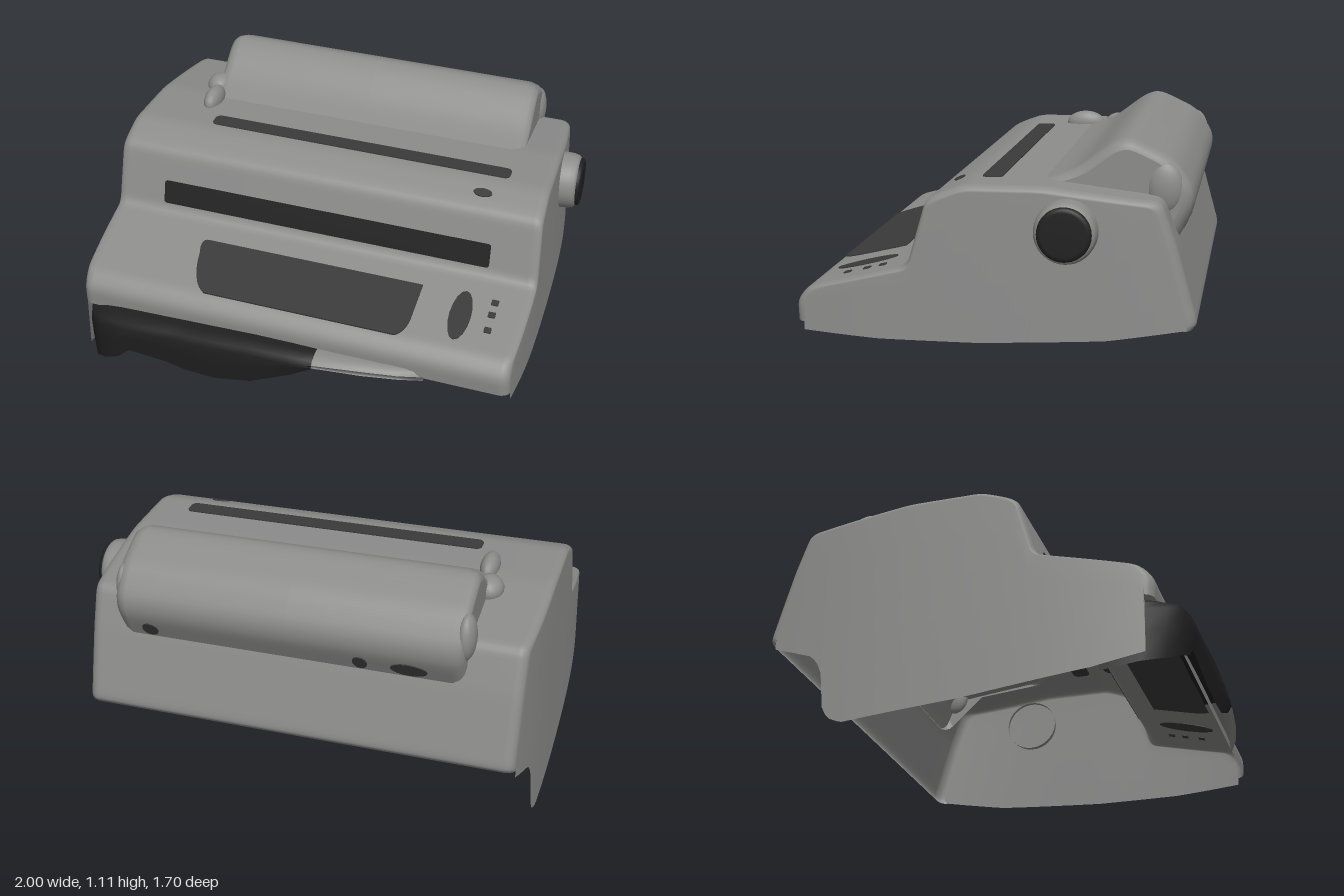
import * as THREE from 'three';

const mat = (name, color) => {
  const m = new THREE.MeshStandardMaterial({ color, side: THREE.DoubleSide });
  m.name = name;
  return m;
};

// the whole casing leans slightly: lower and further forward towards +x
const lean = (x, y, z) => [x, y - 0.027 * x, z + 0.03 * x];

// polyline of [z, y] with rounded corners, then evenly subdivided
function profile(pts, d = 0.035, step = 0.02) {
  const v = pts.map(p => new THREE.Vector2(...p)), out = [v[0]];
  for (let i = 1; i < v.length - 1; i++) {
    const p = v[i];
    const cut = q => p.clone().lerp(q, Math.min(d / p.distanceTo(q), 0.4));
    const a = cut(v[i - 1]), b = cut(v[i + 1]);
    for (const t of [0, 0.25, 0.5, 0.75, 1]) {
      out.push(a.clone().lerp(p, t).lerp(p.clone().lerp(b, t), t));
    }
  }
  out.push(v[v.length - 1]);
  const fine = [out[0]];
  for (let i = 1; i < out.length; i++) {
    const n = Math.max(1, Math.ceil(out[i].distanceTo(out[i - 1]) / step));
    for (let k = 1; k <= n; k++) fine.push(out[i - 1].clone().lerp(out[i], k / n));
  }
  return fine;
}

// skin over a grid of rows of [x, y, z] points
function skin(rows) {
  const n = rows[0].length, idx = [];
  for (let j = 0; j < rows.length - 1; j++) {
    for (let i = 0; i < n - 1; i++) {
      const a = j * n + i, b = a + n;
      idx.push(a, a + 1, b, b, a + 1, b + 1);
    }
  }
  const g = new THREE.BufferGeometry();
  g.setAttribute('position', new THREE.Float32BufferAttribute(rows.flat(2), 3));
  g.setIndex(idx);
  g.computeVertexNormals();
  return g;
}

// linear lookup in a short table of [key, value], keys falling
function lookup(table, k) {
  for (let i = 1; i < table.length; i++) {
    const [a, va] = table[i - 1], [b, vb] = table[i];
    if (k >= b) return THREE.MathUtils.lerp(va, vb, THREE.MathUtils.clamp((a - k) / (a - b), 0, 1));
  }
  return table[table.length - 1][1];
}

export function createModel() {
  const model = new THREE.Group();
  const grey = mat('casing grey', 0x8c8c8b);
  const charcoal = mat('charcoal', 0x3a3a3a);
  const black = mat('near black', 0x202020);
  const add = (name, geometry, material) => {
    const m = new THREE.Mesh(geometry, material);
    m.name = name;
    model.add(m);
    return m;
  };

  // casing: open-bottomed shell with side walls, the left one hanging lower
  const body = profile([[0.735, 0.36], [0.74, 0.44], [0.69, 0.5], [0.285, 0.598], [0.21, 0.86],
    [0.16, 0.888], [0.06, 0.925], [-0.25, 0.925], [-0.7, 0.87], [-0.76, 0.7], [-0.845, 0.4], [-0.825, 0.375]]);
  const hem = {
    '-1': [[0.74, 0.13], [0.5, 0.075], [0, 0.01], [-0.48, -0.027], [-0.54, 0], [-0.57, 0.06],
      [-0.585, 0.22], [-0.63, 0.28], [-0.8, 0.345], [-0.85, 0.375]],
    '1': [[0.75, 0.33], [0.4, 0.31], [0, 0.31], [-0.5, 0.335], [-0.85, 0.385]],
  };
  const wallX = (side, y, z) => side < 0
    ? -0.97 - 0.03 * (1 - y) + 0.08 * z * z * Math.abs(z)
    : 0.91 + 0.035 * (0.9 - y) - 0.08 * z * z * Math.abs(z);
  const sideRows = side => {
    const rows = [];
    const shrink = s => body.map(p => [-0.05 + (p.x + 0.05) * s, 0.36 + (p.y - 0.36) * s]);
    for (const t of [1, 0.8, 0.6, 0.4, 0.2, 0]) {
      rows.push(shrink(0.955).map(([z, y]) => {
        const yy = THREE.MathUtils.lerp(y, Math.min(y, lookup(hem[side], z)), t);
        return [wallX(side, yy, z), yy, z];
      }));
    }
    for (let k = 1; k <= 5; k++) {
      const a = k / 5 * Math.PI / 2;
      rows.push(shrink(0.955 + 0.045 * Math.sin(a)).map(([z, y]) =>
        [wallX(side, y, z) - side * 0.04 * (1 - Math.cos(a)), y, z]));
    }
    return rows;
  };
  const left = sideRows(-1), right = sideRows(1).reverse(), middle = [];
  for (let k = 1; k < 10; k++) {
    middle.push(left[left.length - 1].map((p, i) => p.map((c, q) => THREE.MathUtils.lerp(c, right[0][i][q], k / 10))));
  }
  add('casing', skin([...left, ...middle, ...right].map(r => r.map(p => lean(...p)))), grey);

  // rounded roller hood along the back
  const hood = profile([[-0.2, 0.915], [-0.34, 0.96], [-0.49, 1.075], [-0.56, 1.095], [-0.74, 1.01],
    [-0.815, 0.9], [-0.815, 0.82], [-0.755, 0.7]], 0.06);
  const hoodRows = [[-0.72, 0], [-0.72, 0.8], [-0.72, 0.8], [-0.715, 0.88], [-0.7, 0.95], [-0.67, 1], [0, 1],
    [0.69, 1], [0.72, 0.95], [0.74, 0.88], [0.745, 0.8], [0.745, 0.8], [0.745, 0]];
  add('rollerHood', skin(hoodRows.map(([x, s]) =>
    hood.map(p => lean(x, 0.88 + (p.y - 0.88) * s, -0.56 + (p.x + 0.56) * s)))), grey);

  // soft lumps beside the hood ends: [x, y, z, rx, ry, rz]
  for (const [x, y, z, rx, ry, rz] of [[-0.69, 0.93, -0.2, 0.04, 0.055, 0.09], [-0.72, 0.92, -0.36, 0.06, 0.055, 0.07],
    [-0.71, 0.9, -0.72, 0.04, 0.1, 0.07], [0.73, 0.9, -0.7, 0.035, 0.1, 0.07]]) {
    const lump = add('hoodLump', new THREE.SphereGeometry(1, 20, 14), grey);
    lump.scale.set(rx, ry, rz);
    lump.position.set(...lean(x, y, z));
  }

  // thin plate on a casing face; its outline is (x, distance along face from a to b)
  function plate(name, material, a, b, outline) {
    const length = Math.hypot(b[0] - a[0], b[1] - a[1]);
    const dz = (b[0] - a[0]) / length, dy = (b[1] - a[1]) / length;
    const g = new THREE.ExtrudeGeometry(outline(length), { depth: 0.009, bevelEnabled: false, curveSegments: 8 });
    const p = g.attributes.position;
    for (let i = 0; i < p.count; i++) {
      const s = p.getY(i), h = p.getZ(i) - 0.0045;
      p.setXYZ(i, ...lean(p.getX(i), a[1] + dy * s - dz * h, a[0] + dz * s + dy * h));
    }
    g.computeVertexNormals();
    return add(name, g, material);
  }
  const bar = (x0, x1, r) => L => {
    const s = new THREE.Shape();
    s.absarc(x1 - r, r, r, -Math.PI / 2, 0);
    s.absarc(x1 - r, L - r, r, 0, Math.PI / 2);
    s.absarc(x0 + r, L - r, r, Math.PI / 2, Math.PI);
    s.absarc(x0 + r, r, r, Math.PI, Math.PI * 1.5);
    return s;
  };
  const oval = (x, rx) => L => new THREE.Shape().absellipse(x, L / 2, rx, L / 2, 0, Math.PI * 2);
  const slope = z => [z, 0.5 + (0.69 - z) * 0.098 / 0.405];
  const riser = y => [0.285 - (y - 0.598) * 0.075 / 0.262, y];

  plate('paperSlot', black, riser(0.636), riser(0.734), bar(-0.76, 0.71, 0.012));
  plate('topSlot', charcoal, [0.02, 0.925], [-0.06, 0.925], bar(-0.62, 0.73, 0.025));
  plate('topButton', charcoal, [0.147, 0.893], [0.107, 0.908], oval(0.64, 0.04));
  plate('controlPanel', charcoal, slope(0.68), slope(0.4), L => {
    const s = new THREE.Shape();
    s.moveTo(-0.42, 0);
    s.lineTo(0.41, 0);
    s.quadraticCurveTo(0.45, 0.02, 0.455, 0.1);
    s.lineTo(0.46, L);
    s.lineTo(-0.5, L);
    s.quadraticCurveTo(-0.54, L, -0.515, L - 0.08);
    s.quadraticCurveTo(-0.49, 0.04, -0.42, 0);
    return s;
  });
  plate('controlKey', charcoal, slope(0.64), slope(0.385), oval(0.645, 0.045));
  for (const z of [0.415, 0.48, 0.56]) {
    plate('indicatorLight', charcoal, slope(z + 0.014), slope(z - 0.014), bar(0.755, 0.785, 0.004));
  }
  for (const [x, r] of [[-0.5, 0.075], [-0.3, 0.03], [0.6, 0.035]]) {
    plate('rearVent', charcoal, [-0.762, 0.715], [-0.796, 0.783], oval(x, r));
  }

  // torn front apron: [x, z of face, bottom y], wrapping round the left corner
  const apron = cols => skin(cols.map(([x, z, low, top, back]) => [
    [x, top - 0.005, back], [x, top, (back + z) / 2], [x, top - 0.012, z - 0.015],
    [x, top - 0.035, z], [x, (top + low) / 2, z - 0.003], [x, low, z - 0.015]]));
  add('frontApron', apron([[-0.955, 0.51, 0.1, 0.37, 0.5], [-0.95, 0.66, 0.12, 0.37, 0.62], [-0.91, 0.75, 0.14, 0.38, 0.66],
    [-0.85, 0.8, 0.17, 0.395, 0.67], [-0.78, 0.815, 0.2, 0.4, 0.68], [-0.72, 0.82, 0.25, 0.4, 0.68], [-0.55, 0.825, 0.23, 0.4, 0.69],
    [-0.46, 0.83, 0.21, 0.4, 0.69], [-0.33, 0.835, 0.2, 0.4, 0.7], [-0.17, 0.835, 0.22, 0.4, 0.7], [0, 0.835, 0.29, 0.395, 0.71],
    [0.1, 0.83, 0.34, 0.39, 0.71]]), black);
  add('apronEnd', apron([[0.1, 0.83, 0.34, 0.39, 0.71], [0.3, 0.815, 0.35, 0.385, 0.72],
    [0.45, 0.79, 0.34, 0.38, 0.72], [0.55, 0.755, 0.33, 0.37, 0.72]]), grey);

  // platen knob on the right-hand end, with a dark cap
  const turned = (name, pts, material) => {
    const k = add(name, new THREE.LatheGeometry(pts.map(p => new THREE.Vector2(...p)), 36), material);
    k.rotation.z = -Math.PI / 2;
    k.position.set(0, 0.735, -0.315);
  };
  turned('knobCollar', [[0.125, 0.89], [0.122, 0.95], [0.116, 0.972], [0.106, 0.982], [0.09, 0.984]], grey);
  turned('knobCap', [[0.106, 0.98], [0.105, 0.99], [0.098, 0.998], [0.085, 1], [0, 1]], black);

  return model;
}
